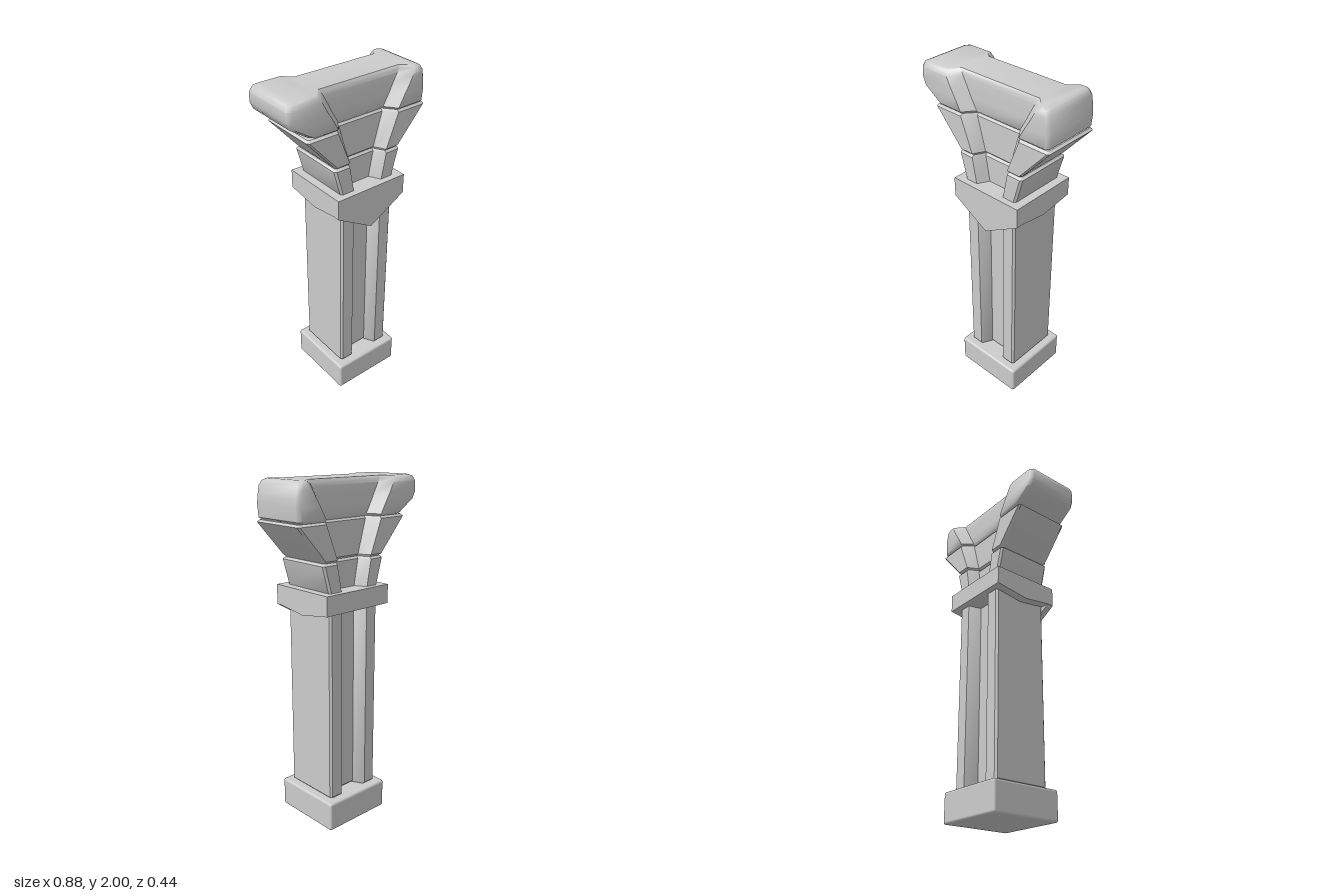
import * as THREE from 'three';
import { toCreasedNormals } from 'three/addons/utils/BufferGeometryUtils.js';
import { RoundedBoxGeometry } from 'three/addons/geometries/RoundedBoxGeometry.js';

const AXIS = 0.05; // x of the column's centre line
const material = new THREE.MeshStandardMaterial({ color: 0xcccccc });

function part(group, name, geometry) {
  const mesh = new THREE.Mesh(geometry, material);
  mesh.name = name;
  group.add(mesh);
  return mesh;
}

// H-shaped section: full depth z at both ends, narrowed to depth zi between the grooves
function section({ y, xl, xr, outer, inner, z = 0.177, zi = 0.11, c = 0.012 }) {
  const front = [
    [xr, z - c], [xr - c, z], [AXIS + outer, z], [AXIS + inner, zi],
    [AXIS - inner, zi], [AXIS - outer, z], [xl + c, z], [xl, z - c],
  ];
  const back = front.slice().reverse().map(([x, d]) => [x, -d]);
  return [...front, ...back].map(([x, d]) => [x, y, d]);
}

// Skin through the sections, closed at both ends
function loft(rings, crease) {
  const pos = rings.flatMap((r) => section(r).flat());
  const n = 16, index = [];
  for (let j = 0; j < rings.length - 1; j++) {
    for (let k = 0; k < n; k++) {
      const a = j * n + k, b = j * n + (k + 1) % n;
      index.push(a, a + n, b, b, a + n, b + n);
    }
  }
  const t = (rings.length - 1) * n;
  for (let k = 0; k < 7; k++) {
    const m = 15 - k;
    index.push(t + k, t + m, t + k + 1, t + k + 1, t + m, t + m - 1);
    index.push(k, k + 1, m, k + 1, m - 1, m);
  }
  const g = new THREE.BufferGeometry();
  g.setAttribute('position', new THREE.Float32BufferAttribute(pos, 3));
  g.setIndex(index);
  return toCreasedNormals(g, crease);
}

// Straight or flared block with bevelled top and bottom edges
function tier(lo, hi) {
  const b = 0.012;
  const inset = (r, dy) => ({
    ...r, y: r.y + dy, xl: r.xl + b, xr: r.xr - b, z: 0.177 - b, zi: 0.11 - b,
  });
  return loft([inset(lo, 0), { ...lo, y: lo.y + b }, { ...hi, y: hi.y - b }, inset(hi, 0)], 0.6);
}

const level = (y, half, outer, inner) => ({ y, xl: AXIS - half, xr: AXIS + half, outer, inner });

function extrude(points, depth) {
  const shape = new THREE.Shape(points.map(([x, y]) => new THREE.Vector2(x, y)));
  return new THREE.ExtrudeGeometry(shape, { depth, bevelEnabled: false });
}

export function createModel() {
  const group = new THREE.Group();
  group.name = 'column';

  // Plinth
  part(group, 'base', new RoundedBoxGeometry(0.44, 0.175, 0.44, 2, 0.014))
    .position.set(AXIS, 0.0875, 0);

  // Grooved shaft and the flared tiers above the collar
  part(group, 'shaft', tier(level(0.175, 0.178, 0.095, 0.06), level(1.4, 0.178, 0.095, 0.06)));
  part(group, 'neck', tier(level(1.39, 0.178, 0.095, 0.06), level(1.572, 0.222, 0.125, 0.09)));
  part(group, 'flare', tier(level(1.572, 0.218, 0.125, 0.09), level(1.788, 0.388, 0.2, 0.145)));

  // Collar band whose underside dips in the middle of each side
  const collar = part(group, 'collar', extrude(
    [[-0.21, 1.41], [-0.21, 1.3], [0, 1.27], [0.21, 1.3], [0.21, 1.41]], 0.46));
  collar.rotation.y = -Math.PI / 2;
  collar.position.x = AXIS + 0.23;

  // Pointed plate hanging at the front
  part(group, 'frontPlate', extrude(
    [[-0.18, 1.41], [-0.18, 1.295], [AXIS, 1.16], [0.28, 1.295], [0.28, 1.41]], 0.04))
    .position.z = 0.175;

  // Uneven rounded cap: y, left, right, groove outer, groove inner, depth, inner depth
  const cap = [
    [1.786, -0.295, 0.412, 0.2, 0.15, 0.163, 0.098],
    [1.8, -0.32, 0.432, 0.2, 0.15, 0.177, 0.11],
    [1.87, -0.425, 0.438, 0.24, 0.19, 0.177, 0.11],
    [1.91, -0.443, 0.434, 0.265, 0.21, 0.177, 0.11],
    [1.965, -0.443, 0.425, 0.295, 0.24, 0.175, 0.11],
    [1.99, -0.432, 0.412, 0.31, 0.255, 0.165, 0.107],
    [2.0, -0.41, 0.39, 0.312, 0.26, 0.148, 0.1],
  ].map(([y, xl, xr, outer, inner, z, zi]) => ({ y, xl, xr, outer, inner, z, zi, c: 0.02 }));
  part(group, 'cap', loft(cap, 0.85));

  return group;
}
